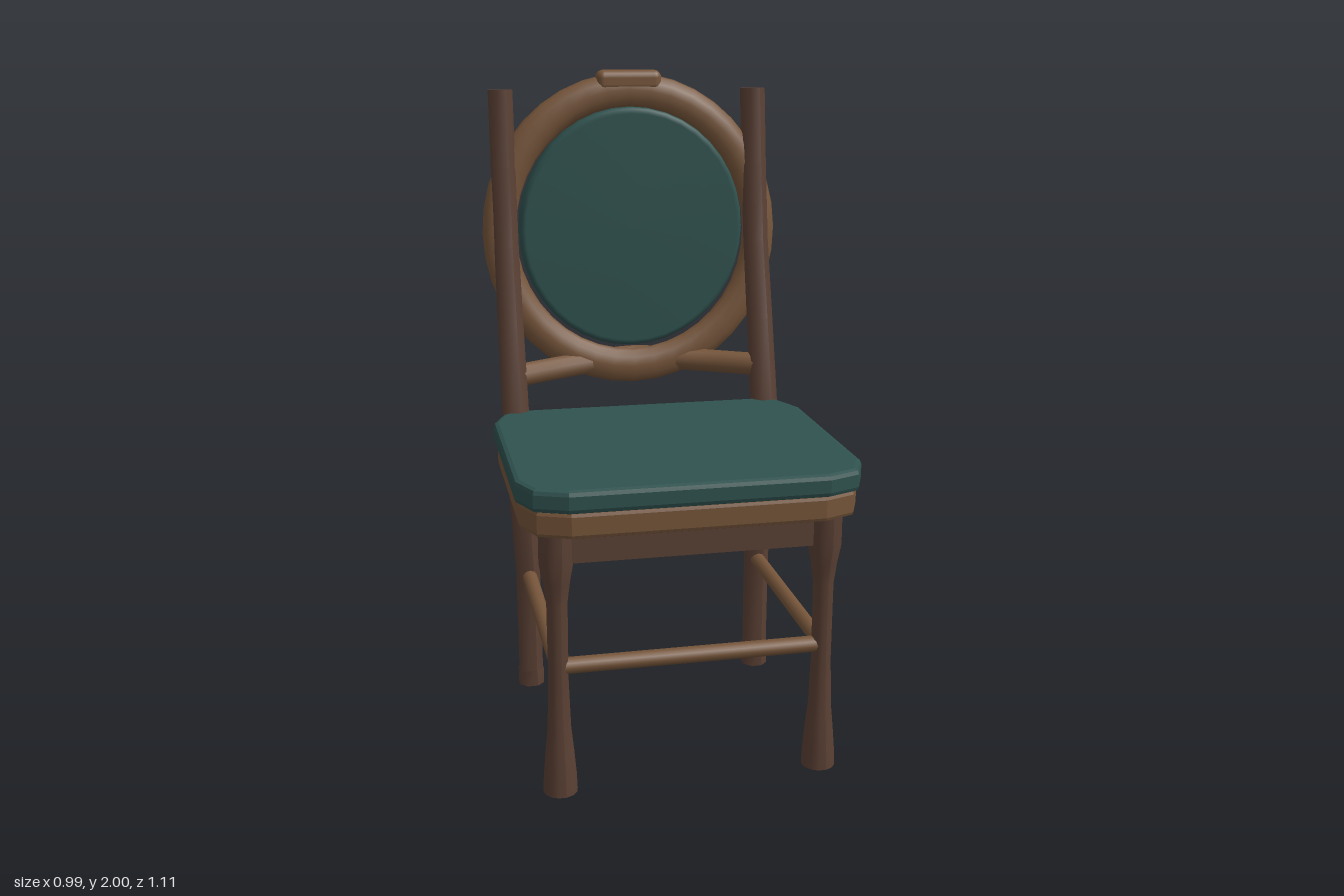
import * as THREE from 'three';
import { RoundedBoxGeometry } from 'three/addons/geometries/RoundedBoxGeometry.js';

const darkWood = new THREE.MeshStandardMaterial({ color: 0x5a4034 });
const lightWood = new THREE.MeshStandardMaterial({ color: 0x76553a });
const fabric = new THREE.MeshStandardMaterial({ color: 0x2f524f });

// Upright bar through stations [x, y, z, radius], capped at both ends
function loft(stations, sides) {
  const n = stations.length - 1;
  const geo = new THREE.CylinderGeometry(1, 1, 1, sides, n);
  geo.rotateY(Math.PI / sides);
  const p = geo.attributes.position;
  for (let i = 0; i < p.count; i++) {
    const [x, y, z, r] = stations[Math.round((p.getY(i) + 0.5) * n)];
    p.setXYZ(i, x + p.getX(i) * r, y, z + p.getZ(i) * r);
  }
  geo.computeVertexNormals();
  return geo;
}

// Horizontal slab with clipped corners and a small bevel
function seatSlab(scale, y0, y1, bevel) {
  const half = [[0.365, 0.557], [0.457, 0.52], [0.497, 0.425], [0.497, -0.18], [0.457, -0.28], [0.38, -0.313]];
  const outline = [...half, ...half.map(([x, z]) => [-x, z]).reverse()];
  const cz = 0.122;
  const shape = new THREE.Shape(
    outline.map(([x, z]) => new THREE.Vector2(x * scale, -(cz + (z - cz) * scale))));
  const geo = new THREE.ExtrudeGeometry(shape, {
    depth: y1 - y0 - 2 * bevel, bevelThickness: bevel, bevelSize: bevel, bevelOffset: -bevel, bevelSegments: 2,
  });
  geo.rotateX(-Math.PI / 2);
  geo.translate(0, y0 + bevel, 0);
  return geo;
}

export function createModel() {
  const chair = new THREE.Group();
  const add = (name, geo, mat, x = 0, y = 0, z = 0) => {
    const mesh = new THREE.Mesh(geo, mat);
    mesh.name = name;
    mesh.position.set(x, y, z);
    chair.add(mesh);
    return mesh;
  };
  const legX = 0.388, frontZ = 0.442, backZ = -0.28;

  // Seat
  add('seatCushion', seatSlab(1, 0.873, 0.94, 0.015), fabric);
  add('seatFrame', seatSlab(0.978, 0.8, 0.876, 0.012), lightWood);

  // Apron boards under the seat
  const midZ = (frontZ + backZ) / 2, span = frontZ - backZ;
  add('frontApron', new THREE.BoxGeometry(2 * legX, 0.1, 0.05), darkWood, 0, 0.753, frontZ);
  add('backApron', new THREE.BoxGeometry(2 * legX, 0.1, 0.05), darkWood, 0, 0.753, backZ);

  for (const [side, s] of [['left', 1], ['right', -1]]) {
    add(side + 'Apron', new THREE.BoxGeometry(0.05, 0.1, span), darkWood, s * legX, 0.753, midZ);

    // Turned front legs
    const turned = [[0, 0.05], [0.05, 0.048], [0.12, 0.042], [0.2, 0.034], [0.35, 0.029],
      [0.58, 0.03], [0.64, 0.038], [0.7, 0.049], [0.81, 0.049]];
    add(side + 'FrontLeg', loft(turned.map(([y, r]) => [s * legX, y, frontZ, r]), 14), darkWood);

    // Back legs running up into raked posts
    const post = [[0.388, 0, -0.28, 0.044], [0.388, 0.05, -0.28, 0.044], [0.388, 0.055, -0.28, 0.041],
      [0.39, 0.4, -0.28, 0.041], [0.4, 0.6, -0.281, 0.043], [0.41, 0.8, -0.29, 0.045],
      [0.414, 0.94, -0.311, 0.045], [0.415, 1.2, -0.38, 0.043], [0.415, 1.45, -0.446, 0.041],
      [0.415, 1.7, -0.487, 0.041], [0.415, 1.94, -0.518, 0.041]];
    add(side + 'BackPost', loft(post.map(([x, y, z, r]) => [s * x, y, z, r]), 8), darkWood);

    // Side stretchers
    const bar = new THREE.CylinderGeometry(0.024, 0.024, span, 10);
    add(side + 'Stretcher', bar.rotateX(Math.PI / 2), lightWood, s * legX, 0.388, midZ);
  }
  const frontBar = new THREE.CylinderGeometry(0.024, 0.024, 2 * legX, 10);
  add('frontStretcher', frontBar.rotateZ(Math.PI / 2), lightWood, 0, 0.388, frontZ);

  // Oval hoop of the back, tilted rearward
  const hoop = new THREE.TorusGeometry(1, 0.125, 12, 40);
  hoop.scale(0.433, 0.45, 0.28);
  add('backHoop', hoop, lightWood, 0, 1.487, -0.488).rotation.x = -0.072;

  // Oval back cushion, upright inside the hoop
  const profile = [[0, -0.035], [0.95, -0.035], [0.985, -0.028], [1, -0.015],
    [1, 0.015], [0.985, 0.028], [0.95, 0.035], [0, 0.035]];
  const pad = new THREE.LatheGeometry(profile.map(([r, y]) => new THREE.Vector2(r, y)), 40);
  pad.scale(0.37, 1, 0.39);
  pad.rotateX(Math.PI / 2);
  add('backCushion', pad, fabric, 0, 1.495, -0.485);

  // Crest block on top of the hoop
  add('crestBlock', new RoundedBoxGeometry(0.214, 0.07, 0.068, 3, 0.025), lightWood, 0, 1.965, -0.521);

  // Bowed rail joining the posts behind the foot of the hoop
  const bow = new THREE.CatmullRomCurve3([
    [-0.41, 1.045, -0.345], [-0.2, 1.05, -0.442], [0, 1.06, -0.487], [0.2, 1.05, -0.442], [0.41, 1.045, -0.345],
  ].map((p) => new THREE.Vector3(...p)));
  add('lowerBackRail', new THREE.TubeGeometry(bow, 24, 0.038, 10), lightWood);

  return chair;
}
